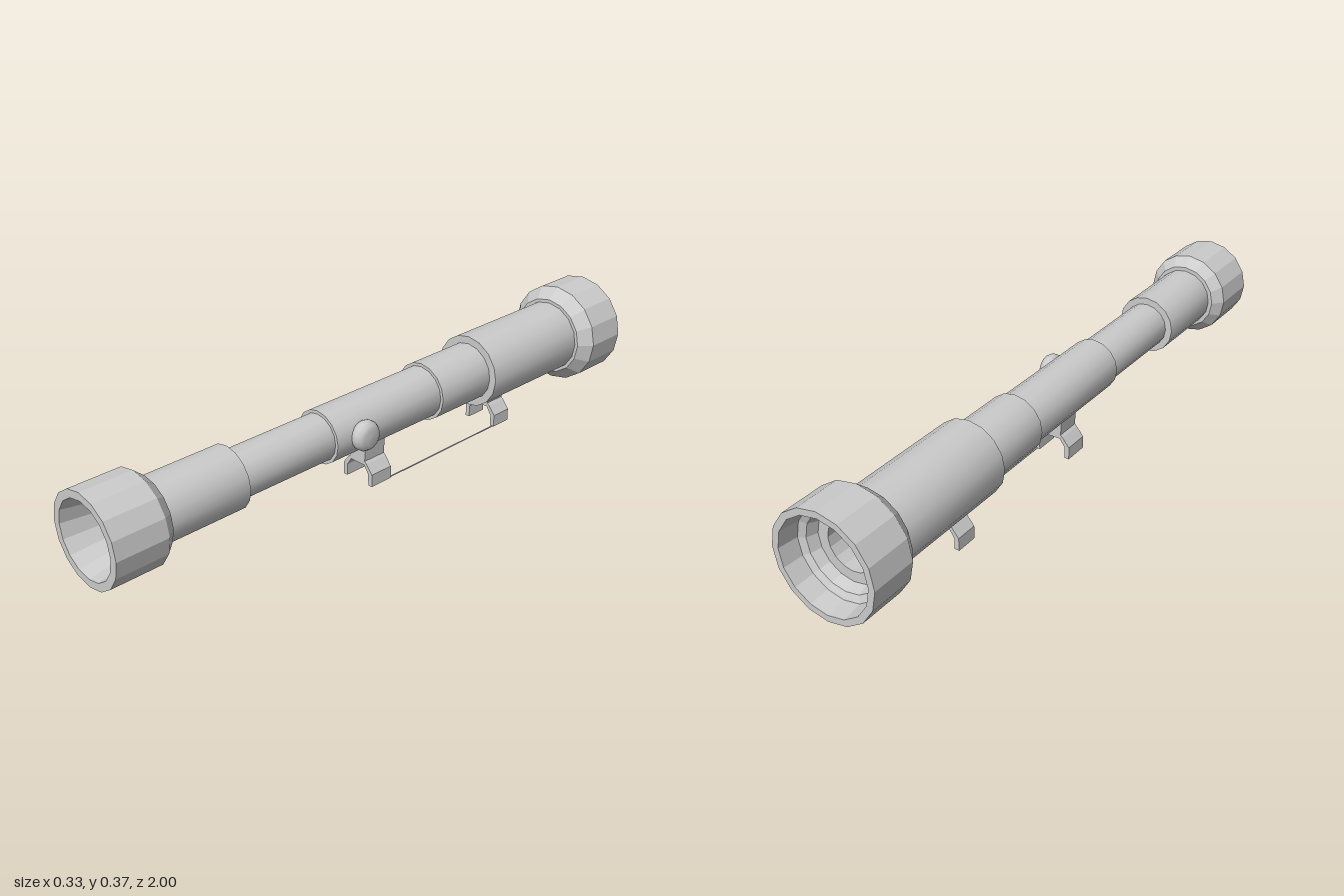
import * as THREE from 'three';
import { toCreasedNormals } from 'three/addons/utils/BufferGeometryUtils.js';

const AXIS = 0.203; // height of the optical axis
const SIDES = 16;
const smooth = new THREE.MeshStandardMaterial({ color: 0xcccccc, side: THREE.DoubleSide });
const faceted = new THREE.MeshStandardMaterial({ color: 0xcccccc, side: THREE.DoubleSide, flatShading: true });

// Turned part along z from a profile of [radius, z]
function turned(name, profile, material = smooth) {
  const points = profile.map(([r, z]) => new THREE.Vector2(r, z));
  const geometry = new THREE.LatheGeometry(points, SIDES).rotateX(Math.PI / 2);
  const mesh = new THREE.Mesh(toCreasedNormals(geometry, 0.5), material);
  mesh.name = name;
  mesh.position.y = AXIS;
  return mesh;
}

// Hollow tube section with flat annular ends
function tube(name, z0, z1, r, inner) {
  return turned(name, [[inner, z0], [r, z0], [r, z1], [inner, z1], [inner, z0]]);
}

// Clamp foot: neck that widens into two bent legs, extruded along z
function foot(name, z, depth, top) {
  const half = [
    [0.034, top], [0.03, 0.075], [0.038, 0.068], [0.06, 0.04], [0.06, 0],
    [0.045, 0], [0.045, 0.036], [0.028, 0.062],
  ];
  const outline = [...half, ...half.map(([x, y]) => [-x, y]).reverse()];
  const shape = new THREE.Shape(outline.map(([x, y]) => new THREE.Vector2(x, y)));
  const geometry = new THREE.ExtrudeGeometry(shape, { depth, bevelEnabled: false });
  const mesh = new THREE.Mesh(geometry, faceted);
  mesh.name = name;
  mesh.position.z = z - depth / 2;
  return mesh;
}

function lens(name, z, r) {
  const mesh = new THREE.Mesh(new THREE.CircleGeometry(r, SIDES), smooth);
  mesh.name = name;
  mesh.position.set(0, AXIS, z);
  return mesh;
}

export function createModel() {
  const scope = new THREE.Group();
  scope.name = 'telescopicSight';

  // Stepped body tubes, from rear to front
  scope.add(
    tube('objectiveTube', -0.83, -0.415, 0.117, 0.075),
    tube('rearStepTube', -0.42, -0.2, 0.093, 0.073),
    tube('centreTube', -0.205, 0.225, 0.083, 0.068),
    tube('slimTube', 0.22, 0.555, 0.073, 0.06),
    tube('eyeTube', 0.55, 0.82, 0.095, 0.073),
  );

  // Flared end housings with stepped, hollow interiors
  scope.add(
    turned('objectiveHousing', [
      [0.073, -0.7], [0.073, -0.9], [0.105, -0.9], [0.117, -0.93], [0.136, -0.94],
      [0.143, -1], [0.163, -1], [0.163, -0.86], [0.128, -0.82], [0.1, -0.82],
    ], faceted),
    turned('eyepieceHousing', [
      [0.09, 0.81], [0.108, 0.81], [0.137, 0.843], [0.137, 1], [0.113, 1],
      [0.094, 0.9], [0.09, 0.88], [0.073, 0.78],
    ], faceted),
    lens('objectiveLens', -0.72, 0.074),
    lens('eyeLens', 0.785, 0.075),
  );

  // Rounded adjustment knob on the left side
  const knobProfile = [
    [0, 0.06], [0.024, 0.06], [0.03, 0.068], [0.042, 0.074], [0.047, 0.085],
    [0.046, 0.098], [0.038, 0.11], [0.024, 0.115], [0, 0.116],
  ].map(([r, y]) => new THREE.Vector2(r, y));
  const knob = new THREE.Mesh(new THREE.LatheGeometry(knobProfile, SIDES).rotateZ(-Math.PI / 2), smooth);
  knob.name = 'adjustmentKnob';
  knob.position.set(0, AXIS + 0.002, 0.125);
  scope.add(knob);

  // Mounting feet and the thin wire between them
  scope.add(foot('frontFoot', 0.03, 0.08, 0.128), foot('rearFoot', -0.52, 0.07, 0.096));
  const wire = new THREE.Mesh(new THREE.BoxGeometry(0.004, 0.002, 0.5), smooth);
  wire.name = 'connectingWire';
  wire.position.set(0.055, 0.001, -0.25);
  scope.add(wire);

  return scope;
}
